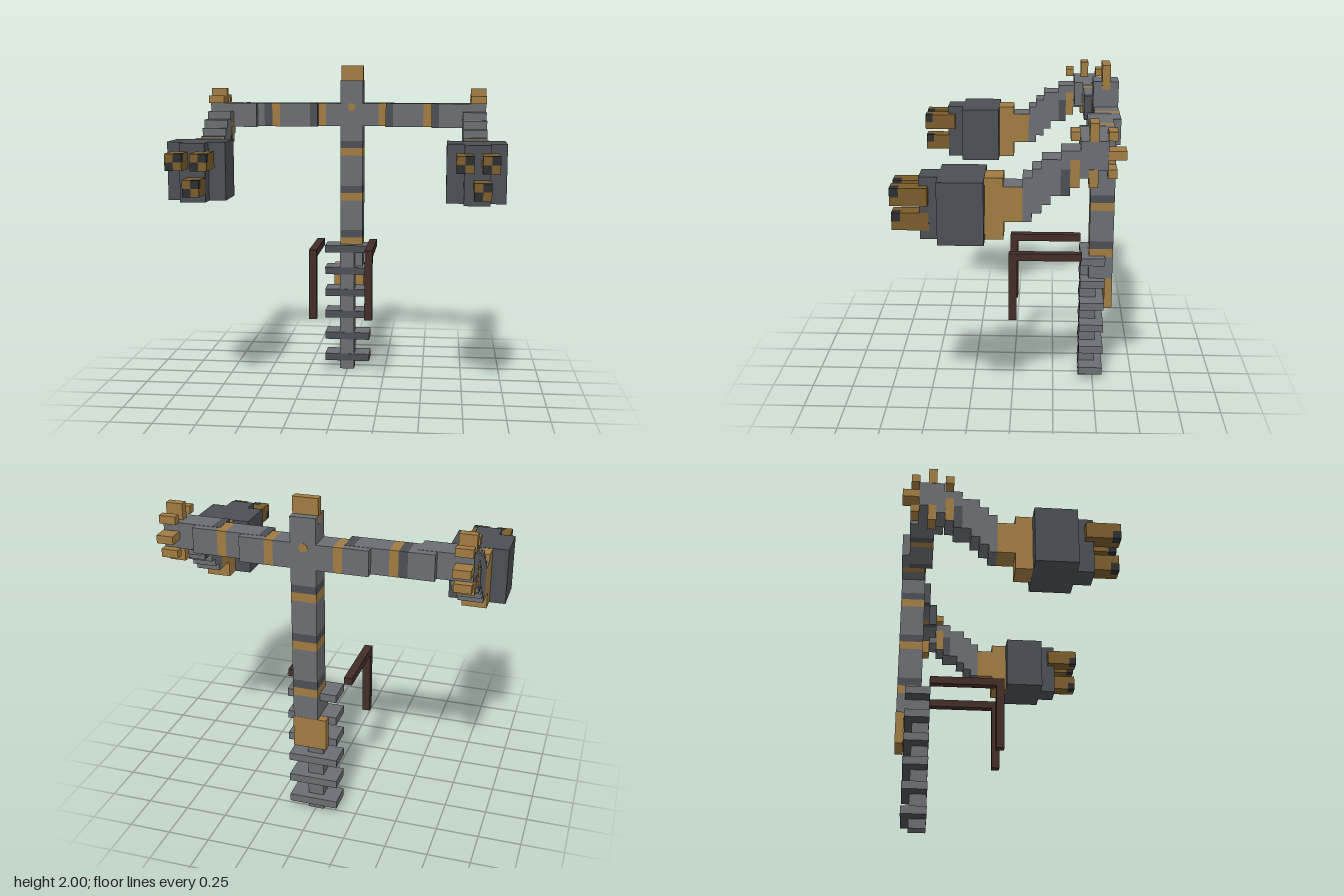
import * as THREE from 'three';

const mat = (name, color) => Object.assign(new THREE.MeshStandardMaterial({ color }), { name });

export function createModel() {
  const grey = mat('steel grey', 0x6a6d72);
  const dark = mat('dark steel', 0x4b4f54);
  const gold = mat('brass', 0xa07b42);
  const bronze = mat('bronze', 0x7a5c2b);
  const brown = mat('dark brown', 0x432d27);
  const black = mat('near black', 0x2c2e30);

  const model = new THREE.Group();
  model.name = 'model';

  const group = (name, parent = model) => {
    const g = new THREE.Group();
    g.name = name;
    parent.add(g);
    return g;
  };
  // Box given by its limits on each axis
  const box = (parent, name, material, [x0, x1], [y0, y1], [z0, z1]) => {
    const m = new THREE.Mesh(new THREE.BoxGeometry(x1 - x0, y1 - y0, z1 - z0), material);
    m.position.set((x0 + x1) / 2, (y0 + y1) / 2, (z0 + z1) / 2);
    m.name = name;
    parent.add(m);
    return m;
  };

  // Mast, stacked from the bottom with dark and brass bands
  const mast = group('mast');
  const mx = [-0.05, 0.095], mz = [-0.605, -0.46];
  let y = 0.68;
  for (const [top, m] of [[0.83, grey], [0.88, gold], [0.93, dark], [1.125, grey], [1.175, gold],
    [1.222, dark], [1.42, grey], [1.47, gold], [1.515, dark], [1.905, grey]]) {
    box(mast, m === grey ? 'mastSection' : 'mastBand', m, mx, [y, top], mz);
    y = top;
  }
  box(mast, 'mastTip', gold, mx, [1.905, 2], [-0.557, -0.51]);
  for (const x of mx) box(mast, 'tipInlay', gold, [x - 0.002, x + 0.002], [1.86, 1.905], [-0.557, -0.51]);
  for (const z of mz) {
    const disc = new THREE.Mesh(new THREE.CylinderGeometry(0.025, 0.025, 0.006, 16), gold);
    disc.rotation.x = Math.PI / 2;
    disc.position.set(0.022, 1.735, z);
    disc.name = 'mastStud';
    mast.add(disc);
  }

  // Lower spine, rungs and back plate
  const spine = group('spine');
  box(spine, 'spineBar', grey, [-0.05, 0.045], [0, 0.832], [-0.51, -0.41]);
  for (let i = 0; i < 6; i++) {
    const y0 = 0.055 + i * 0.1465;
    box(spine, 'rung', [grey, grey, grey, dark, dark, grey], [-0.146, 0.146], [y0, y0 + 0.047], [-0.557, -0.408]);
  }
  box(spine, 'backPlate', gold, [-0.1, 0.097], [0.492, 0.687], [-0.606, -0.558]);

  // Handles
  for (const x0 of [-0.197, 0.146]) {
    const handle = group('handle');
    box(handle, 'handleBar', brown, [x0, x0 + 0.048], [0.835, 0.88], [-0.414, -0.022]);
    box(handle, 'handleGrip', brown, [x0, x0 + 0.048], [0.445, 0.88], [-0.022, 0.025]);
  }

  // Crossbeam, swept forward in steps; each beam runs along x in coloured sections
  const beam = group('crossbeam');
  const run = (grow, z, x0, sections) => {
    for (const [x1, m] of sections) {
      box(beam, m === grey ? 'beamSection' : 'beamBand', m, [x0, x1], [1.612 - grow, 1.758 + grow], z);
      x0 = x1;
    }
  };
  run(0, [-0.605, -0.465], -0.34, [[-0.195, grey], [-0.145, gold], [0.195, grey], [0.245, gold], [0.39, grey]]);
  run(0.0015, [-0.56, -0.42], -0.685, [[-0.54, grey], [-0.49, dark], [-0.44, gold], [-0.245, grey], [-0.195, dark]]);
  run(0.0015, [-0.56, -0.42], 0.245, [[0.292, dark], [0.485, grey], [0.537, gold], [0.683, grey]]);
  run(0.003, [-0.513, -0.37], -0.88, [[-0.585, grey]]);
  run(0.003, [-0.513, -0.37], 0.538, [[0.585, dark], [0.88, grey]]);

  for (const s of [-1, 1]) {
    const arm = group(s < 0 ? 'rightArm' : 'leftArm');
    const span = (a, b) => (s < 0 ? [-b, -a] : [a, b]);
    const ax = span(0.733, 0.88);

    // Spikes around the elbow
    for (const [ys, zs] of [
      [[1.758, 1.855], [-0.462, -0.414]], [[1.515, 1.612], [-0.462, -0.414]],
      [[1.663, 1.71], [-0.605, -0.511]],
      [[1.763, 1.81], [-0.366, -0.318]], [[1.763, 1.81], [-0.558, -0.51]],
      [[1.564, 1.612], [-0.558, -0.51]],
    ]) box(arm, 'elbowSpike', gold, span(0.784, 0.882), ys, zs);

    // Stepped forearm
    for (const [z0, z1, y0, y1] of [
      [-0.415, -0.366, 1.565, 1.71], [-0.366, -0.318, 1.515, 1.71], [-0.318, -0.27, 1.47, 1.71],
      [-0.27, -0.22, 1.47, 1.663], [-0.22, -0.172, 1.42, 1.663], [-0.172, -0.122, 1.372, 1.613],
      [-0.122, -0.074, 1.325, 1.565],
    ]) box(arm, 'forearmStep', grey, ax, [y0, y1], [z0, z1]);
    for (const x of ax) {
      box(arm, 'forearmDarkBand', dark, [x - 0.002, x + 0.002], [1.47, 1.612], [-0.318, -0.27]);
      box(arm, 'forearmBrassBand', gold, [x - 0.002, x + 0.002], [1.515, 1.663], [-0.366, -0.318]);
    }

    // Wrist cuff
    box(arm, 'wrist', [gold, gold, grey, gold, gold, gold], ax, [1.325, 1.515], [-0.074, 0.025]);
    box(arm, 'cuff', gold, ax, [1.227, 1.562], [0.025, 0.122]);

    // Cannon head
    box(arm, 'cannonBody', dark, span(0.635, 0.975), [1.225, 1.564], [0.122, 0.363]);
    box(arm, 'cannonNose', dark, ax, [1.225, 1.564], [0.363, 0.462]);

    // Three barrels with chequered muzzles
    const cx = s * 0.807;
    const low = s < 0 ? -0.83 : 0.786;
    for (const [x0, y0] of [[cx - 0.119, 1.42], [cx + 0.023, 1.42], [low, 1.273]]) {
      const barrel = group('barrel', arm);
      const d = 0.048;
      box(barrel, 'barrelTube', bronze, [x0, x0 + 2 * d], [y0, y0 + 2 * d], [0.414, 0.563]);
      for (let i = 0; i < 2; i++) for (let j = 0; j < 2; j++) {
        box(barrel, 'muzzle', i === j ? black : bronze,
          [x0 + i * d, x0 + (i + 1) * d], [y0 + j * d, y0 + (j + 1) * d], [0.563, 0.61]);
      }
    }
  }
  return model;
}
